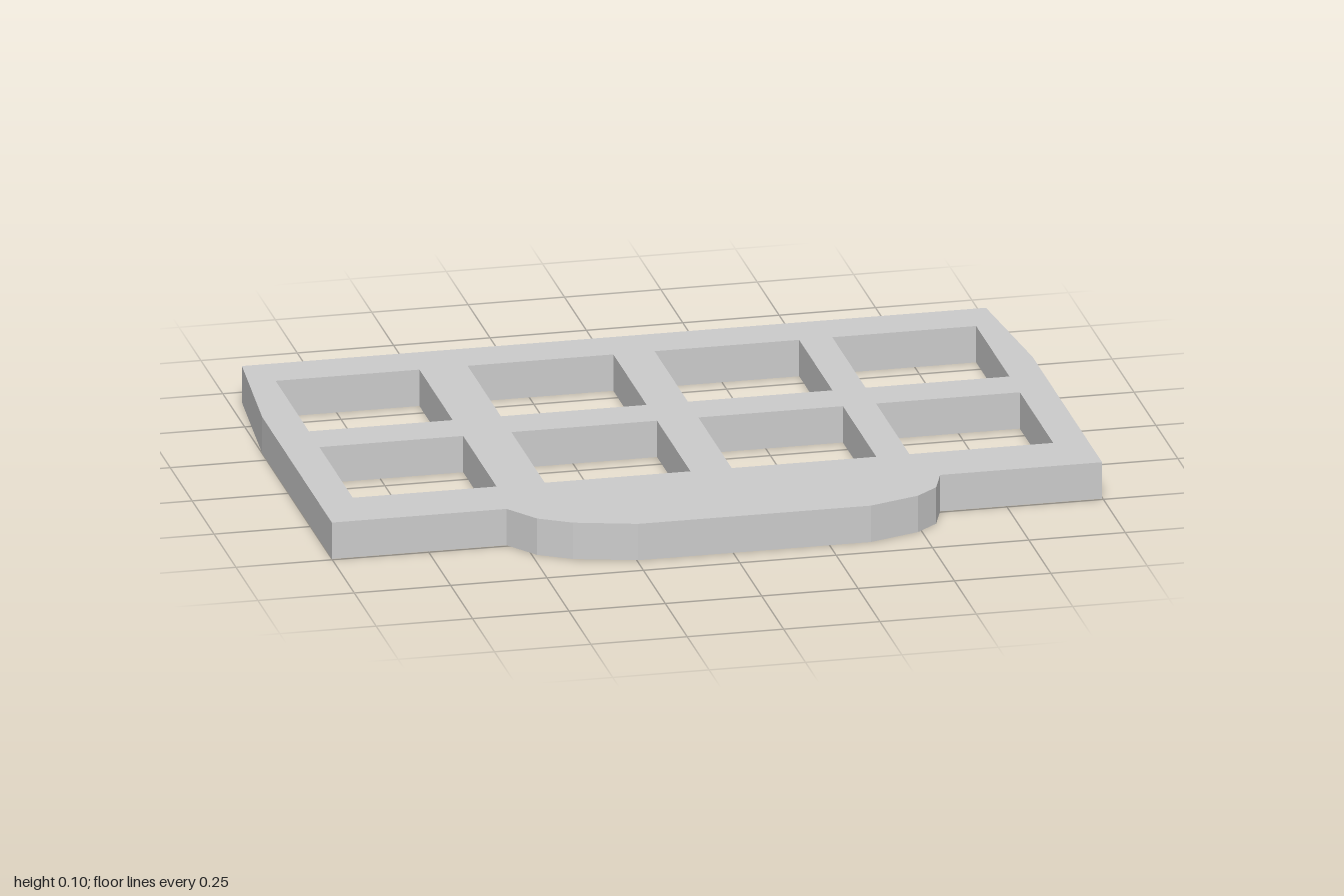
import * as THREE from 'three';

const HEIGHT = 0.098;

// Plan outline as [x, z], running along the back, down the left and round the front tab
const OUTLINE = [
  [-0.967, -0.677], [0.963, -0.677], [0.998, -0.3], [0.998, 0.494],
  [0.578, 0.494], [0.548, 0.58], [0.49, 0.63], [0.357, 0.675],
  [-0.247, 0.675], [-0.405, 0.63], [-0.487, 0.58], [-0.547, 0.494],
  [-1, 0.494], [-1, -0.3],
];

// Window openings: column spans in x, row spans in z
const COLUMNS = [[-0.908, -0.535], [-0.41, -0.032], [0.075, 0.45], [0.536, 0.909]];
const ROWS = [[-0.552, -0.172], [-0.053, 0.328]];

const toPoints = (list) => list.map(([x, z]) => new THREE.Vector2(x, -z));

export function createModel() {
  const group = new THREE.Group();
  group.name = 'windowPanel';

  const shape = new THREE.Shape(toPoints(OUTLINE));
  for (const [x0, x1] of COLUMNS) {
    for (const [z0, z1] of ROWS) {
      shape.holes.push(new THREE.Path(toPoints([[x0, z0], [x0, z1], [x1, z1], [x1, z0]])));
    }
  }

  // Flat plate with a grid of openings, laid down on the ground
  const geometry = new THREE.ExtrudeGeometry(shape, { depth: HEIGHT, bevelEnabled: false });
  geometry.rotateX(-Math.PI / 2);

  const plate = new THREE.Mesh(
    geometry,
    new THREE.MeshStandardMaterial({ color: 0xcccccc, flatShading: true })
  );
  plate.name = 'framePlate';
  group.add(plate);
  return group;
}
